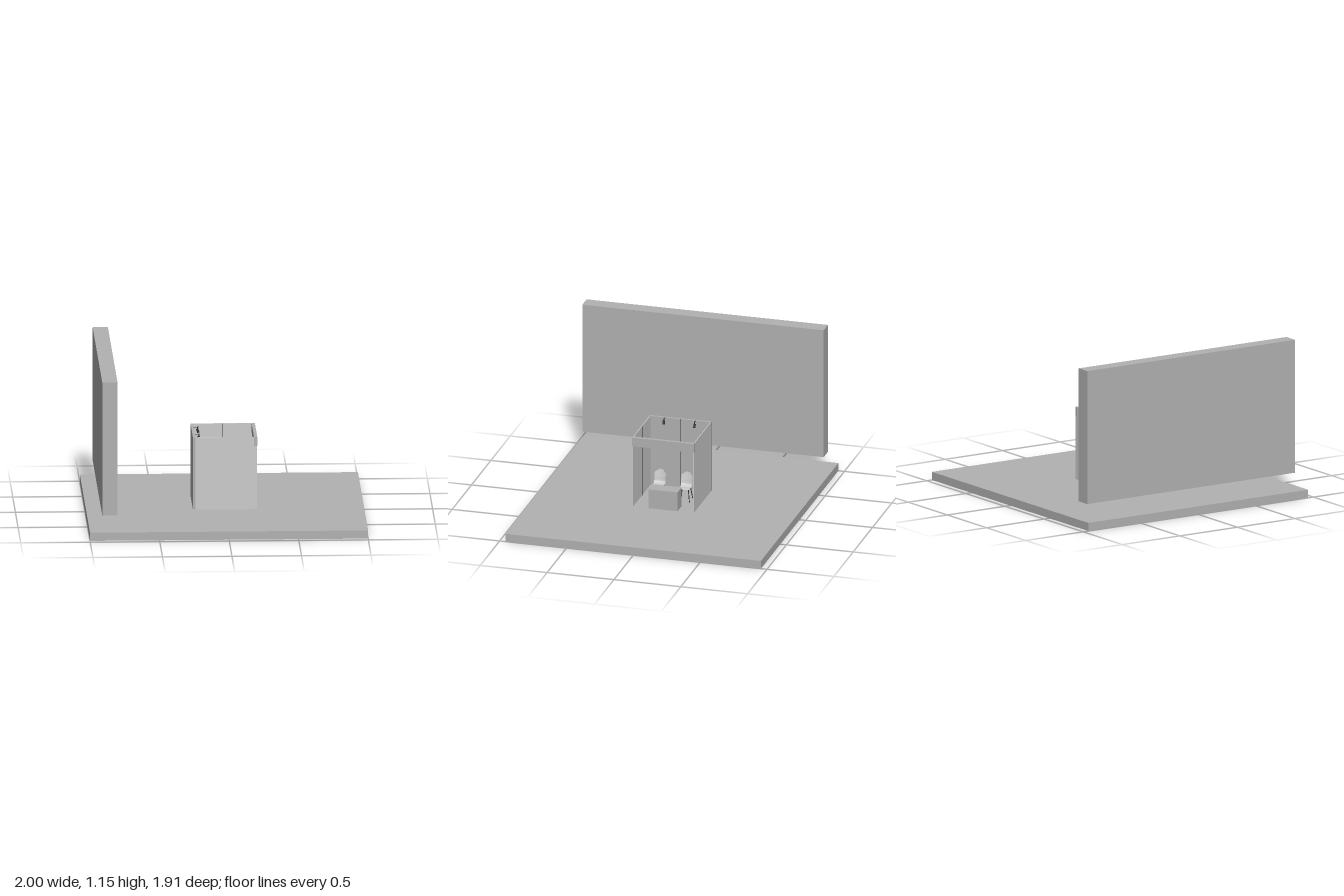
import * as THREE from 'three';

const grey = new THREE.MeshStandardMaterial({ color: 0xb2b2b2 });
grey.name = 'mid grey';
const pale = new THREE.MeshStandardMaterial({ color: 0xcccccc, side: THREE.DoubleSide });
pale.name = 'pale grey';
const dark = new THREE.MeshStandardMaterial({ color: 0x333333 });
dark.name = 'dark metal';

// Box given by its lower and upper limits on each axis
function box(name, material, [x0, x1], [y0, y1], [z0, z1]) {
  const mesh = new THREE.Mesh(new THREE.BoxGeometry(x1 - x0, y1 - y0, z1 - z0), material);
  mesh.position.set((x0 + x1) / 2, (y0 + y1) / 2, (z0 + z1) / 2);
  mesh.name = name;
  return mesh;
}

// Round bar between two points
function rod(name, a, b, radius) {
  const from = new THREE.Vector3(...a), dir = new THREE.Vector3(...b).sub(from);
  const mesh = new THREE.Mesh(new THREE.CylinderGeometry(radius, radius, dir.length(), 10), dark);
  mesh.position.copy(from).addScaledVector(dir, 0.5);
  mesh.quaternion.setFromUnitVectors(new THREE.Vector3(0, 1, 0), dir.normalize());
  mesh.name = name;
  return mesh;
}

// Moulded seat and back, swept along a side profile and rounded at the top
function chairShell() {
  const profile = new THREE.CatmullRomCurve3([
    [0.045, 0.094], [0.02, 0.097], [-0.015, 0.096], [-0.035, 0.108],
    [-0.042, 0.14], [-0.049, 0.175], [-0.054, 0.2],
  ].map(([x, y]) => new THREE.Vector3(x, y, 0)));
  const geometry = new THREE.PlaneGeometry(1, 1, 12, 28);
  const pos = geometry.attributes.position;
  for (let i = 0; i < pos.count; i++) {
    const side = pos.getX(i) * 2, t = pos.getY(i) + 0.5;
    const p = profile.getPoint(t);
    const end = Math.max(0, (t - 0.75) / 0.25);
    const halfWidth = 0.042 * (1 - 0.55 * end ** 3);
    const curl = 0.008 * side * side;
    const drop = 0.012 * end * end * side ** 4;
    pos.setXYZ(i, p.x + curl * t, p.y + curl * (1 - t) * 0.5 - drop, side * halfWidth);
  }
  geometry.computeVertexNormals();
  const mesh = new THREE.Mesh(geometry, pale);
  mesh.name = 'chairShell';
  return mesh;
}

function chair() {
  const group = new THREE.Group();
  group.name = 'chair';
  group.add(chairShell());
  for (const sx of [-1, 1]) {
    for (const sz of [-1, 1]) {
      group.add(rod('chairLeg', [sx * 0.028, 0.095, sz * 0.03], [sx * 0.042, 0, sz * 0.043], 0.003));
    }
  }
  for (const sx of [-1, 1]) {
    group.add(rod('seatBrace', [sx * 0.028, 0.092, -0.034], [sx * 0.028, 0.092, 0.034], 0.003));
  }
  return group;
}

// Spotlight on a short arm at the top of the rear panel
function spotlight(z) {
  const group = new THREE.Group();
  group.name = 'spotlight';
  group.add(rod('lampArm', [-0.215, 0.59, z], [-0.18, 0.59, z], 0.003));
  group.add(rod('lampStem', [-0.185, 0.595, z], [-0.185, 0.57, z], 0.004));
  group.add(rod('lampHead', [-0.188, 0.577, z], [-0.18, 0.55, z], 0.009));
  return group;
}

export function createModel() {
  const model = new THREE.Group();
  model.name = 'exhibitionStand';
  const floor = 0.06, top = 0.592;

  // Ground slab and raised wall slab
  model.add(box('floorSlab', grey, [-1, 1], [0, floor], [-0.955, 0.955]));
  model.add(box('wallSlab', grey, [-0.91, -0.8], [0.175, 1.155], [-0.903, 0.903]));

  // Booth walls, with dark joints where the panels meet
  const booth = new THREE.Group();
  booth.name = 'booth';
  booth.add(box('rearPanel', grey, [-0.232, -0.214], [floor, top], [-0.231, 0.231]));
  booth.add(box('rearJoint', dark, [-0.214, -0.212], [floor, top], [-0.003, 0.003]));
  for (const s of [-1, 1]) {
    const wall = box('sidePanel', pale, [-0.214, 0.23], [floor, top], [-0.003, 0.003]);
    wall.position.z = s * 0.227;
    const joint = box('sideJoint', dark, [-0.002, 0.002], [floor, top], [-0.001, 0.001]);
    joint.position.z = s * 0.223;
    booth.add(wall, joint, spotlight(s * 0.115));
  }
  booth.add(box('fascia', grey, [0.207, 0.231], [0.525, top], [-0.231, 0.231]));
  model.add(booth);

  // Counter and two chairs
  model.add(box('counter', grey, [0.124, 0.231], [floor, 0.205], [-0.108, 0.108]));
  for (const s of [-1, 1]) {
    const seat = chair();
    seat.position.set(0, floor, s * 0.1);
    model.add(seat);
  }
  return model;
}
